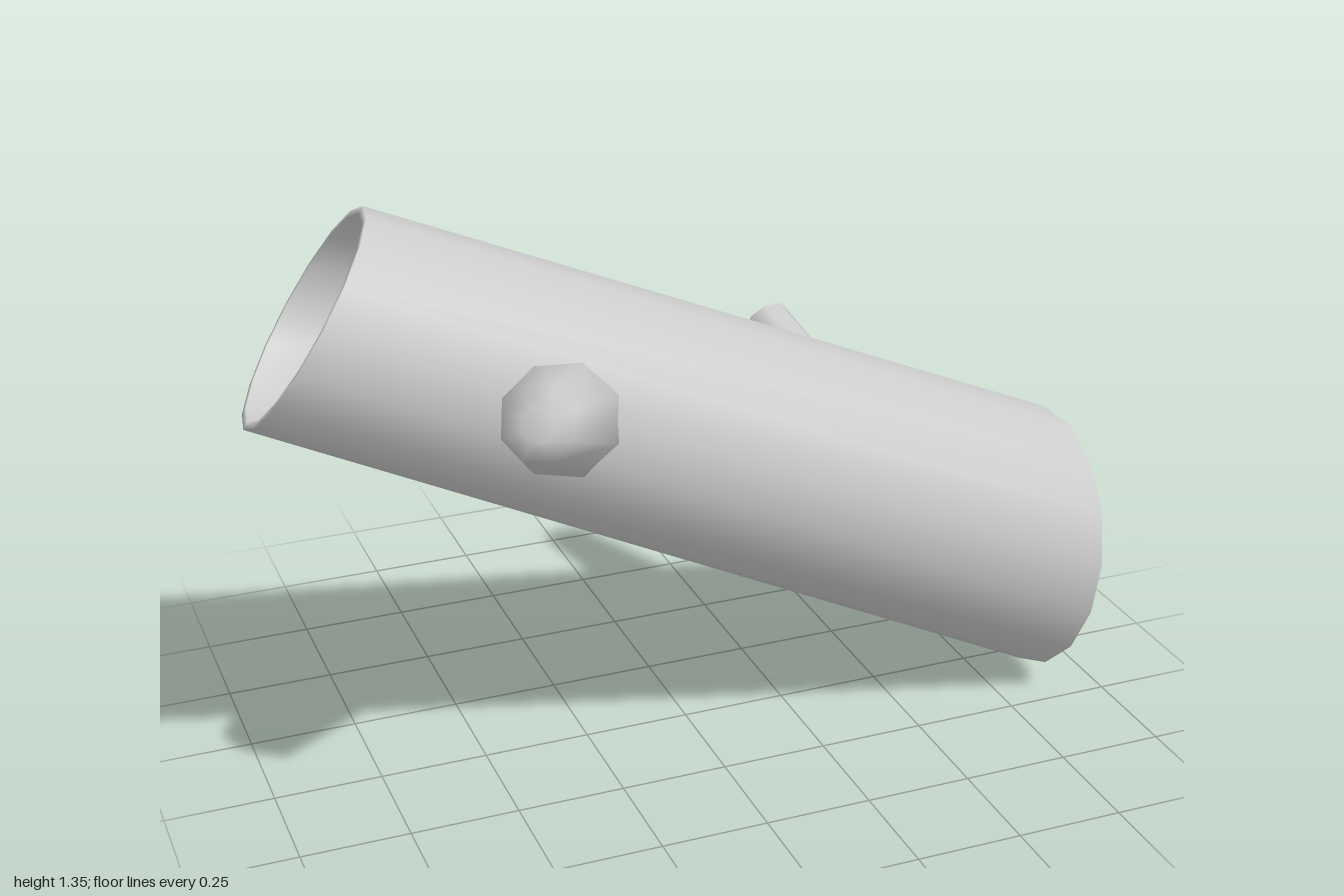
import * as THREE from 'three';
import { mergeVertices } from 'three/addons/utils/BufferGeometryUtils.js';

const V = (x, y, z) => new THREE.Vector3(x, y, z);

// Smooth skin over rings [centre, uAxis, vAxis, scale]; rings advance along u x v
function loft(name, rings, sides) {
  const pos = [], index = [];
  for (const [c, u, v, s] of rings) {
    for (let k = 0; k < sides; k++) {
      const t = ((k + 0.5) / sides) * Math.PI * 2;
      const p = c.clone().addScaledVector(u, s * Math.cos(t)).addScaledVector(v, s * Math.sin(t));
      pos.push(p.x, p.y, p.z);
    }
  }
  for (let i = 0; i < rings.length - 1; i++) {
    for (let k = 0; k < sides; k++) {
      const a = i * sides + k, a1 = i * sides + (k + 1) % sides;
      const b = a + sides, b1 = a1 + sides;
      if (rings[i][3] > 0) index.push(a, a1, b);
      if (rings[i + 1][3] > 0) index.push(a1, b1, b);
    }
  }
  let geo = new THREE.BufferGeometry();
  geo.setAttribute('position', new THREE.Float32BufferAttribute(pos, 3));
  geo.setIndex(index);
  geo = mergeVertices(geo, 1e-4);
  geo.computeVertexNormals();
  const mesh = new THREE.Mesh(geo, new THREE.MeshStandardMaterial({ color: 0xcccccc }));
  mesh.name = name;
  return mesh;
}

// Tapered stub with a nearly flat tip, its root buried in the trunk
function stub(name, root, tip, rRoot, rTip, sides) {
  const d = tip.clone().sub(root).normalize();
  const u = V(0, 1, 0).addScaledVector(d, -d.y).normalize();
  const v = d.clone().cross(u);
  return loft(name, [
    [root, u, v, 0],
    [root, u, v, rRoot],
    [tip, u, v, rTip],
    [tip.clone().addScaledVector(d, 0.012), u, v, rTip * 0.45],
    [tip.clone().addScaledVector(d, 0.012), u, v, 0],
  ], sides);
}

export function createModel() {
  const group = new THREE.Group();
  group.name = 'hollowLog';

  // Slanted upper cut and wider lower cut
  const top = V(-0.852, 1.15, -0.017), topU = V(0.15, 0.213, -0.015), topV = V(-0.045, 0.02, 0.258);
  const end = V(0.93, 0.32, -0.015), endU = V(0.051, 0.317, 0), endV = V(0, 0, 0.322);
  const floor = top.clone().add(V(0.19, -0.09, 0));
  const dome = end.clone().add(V(0.057, -0.009, 0));

  // Trunk: shallow hollow, thin lip, tapered bark, bulging lower end
  group.add(loft('trunk', [
    [floor, topU, topV, 0],
    [floor, topU, topV, 0.82],
    [top, topU, topV, 0.93],
    [top, topU, topV, 1],
    [end, endU, endV, 1],
    [dome, endU, endV, 0.35],
    [dome, endU, endV, 0],
  ], 16));

  // Branch stubs on either side
  group.add(stub('frontBranch', V(-0.345, 0.915, 0.16), V(-0.5, 1.05, 0.475), 0.142, 0.08, 8));
  group.add(stub('backBranch', V(0.452, 0.63, -0.2), V(0.405, 0.8, -0.48), 0.1, 0.056, 8));
  return group;
}
